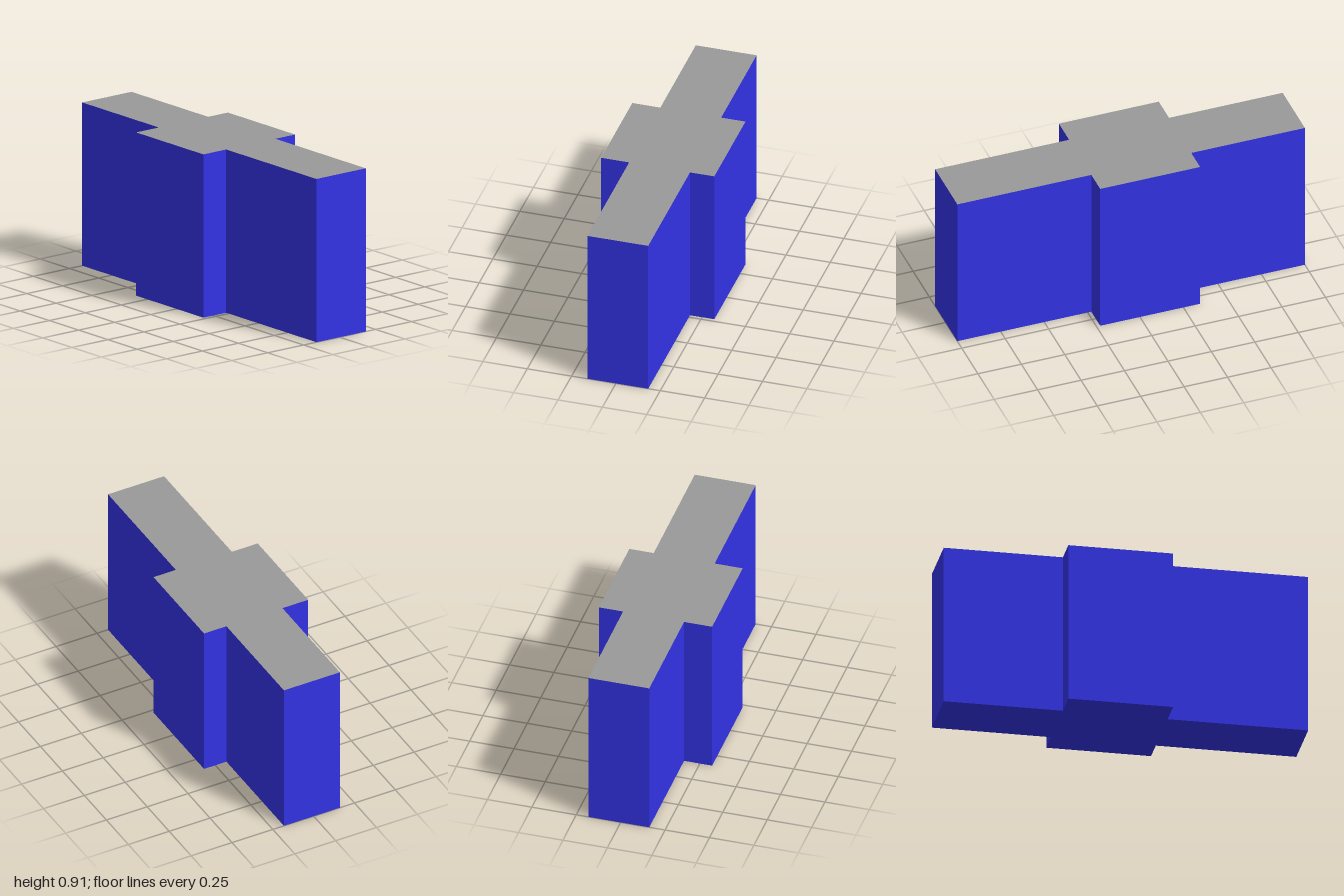
import * as THREE from 'three';

export function createModel() {
  const blue = new THREE.MeshStandardMaterial({ color: 0x3333e6 });
  blue.name = 'wallBlue';
  const grey = new THREE.MeshStandardMaterial({ color: 0x999999 });
  grey.name = 'roofGrey';

  // Cross-shaped floor plan as [x, z] corners
  const plan = [
    [-1, 0.161], [-0.346, 0.161], [-0.346, 0.319], [0.229, 0.319], [0.229, 0.161], [1, 0.161],
    [1, -0.182], [0.229, -0.182], [0.229, -0.319], [-0.346, -0.319], [-0.346, -0.182], [-1, -0.182],
  ];
  const shape = new THREE.Shape(plan.map(([x, z]) => new THREE.Vector2(x, -z)));
  const geometry = new THREE.ExtrudeGeometry(shape, { depth: 0.913, bevelEnabled: false });
  geometry.rotateX(-Math.PI / 2);

  // The cap group holds the floor first, then the roof; give each its own material
  const [caps, walls] = geometry.groups.map((g) => ({ ...g }));
  const half = caps.count / 2;
  geometry.clearGroups();
  geometry.addGroup(caps.start, half, 0);
  geometry.addGroup(caps.start + half, half, 1);
  geometry.addGroup(walls.start, walls.count, 0);

  const building = new THREE.Mesh(geometry, [blue, grey]);
  building.name = 'buildingBlock';

  const model = new THREE.Group();
  model.name = 'building';
  model.add(building);
  return model;
}
